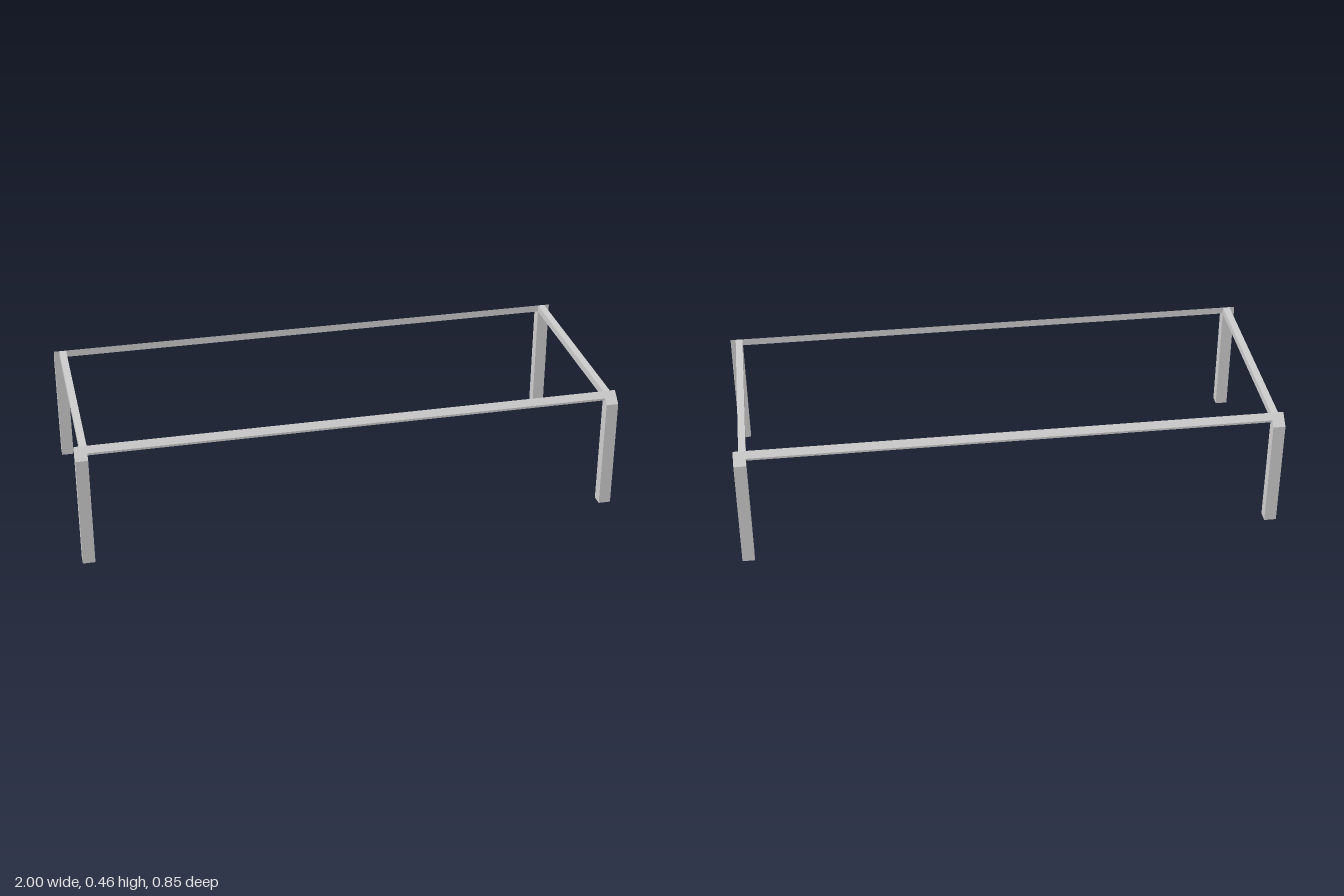
import * as THREE from 'three';

const material = new THREE.MeshStandardMaterial({ color: 0xcccccc, flatShading: true });

// Extrudes a (z, y) profile along x, centred on x = 0
function extrudeAlongX(points, length, name) {
  const shape = new THREE.Shape(points.map(([z, y]) => new THREE.Vector2(-z, y)));
  const geometry = new THREE.ExtrudeGeometry(shape, { depth: length, bevelEnabled: false });
  geometry.translate(0, 0, -length / 2);
  geometry.rotateY(Math.PI / 2);
  const mesh = new THREE.Mesh(geometry, material);
  mesh.name = name;
  return mesh;
}

export function createModel() {
  const model = new THREE.Group();
  model.name = 'tableFrame';

  const top = 0.457, railBottom = 0.43;
  const inner = 0.384, outer = 0.427;
  const legWidth = 0.045;

  // Leg with its top sloping down to the outside
  const legProfile = [[inner, 0], [outer, 0], [outer, 0.42], [inner, top]];
  // Long rail whose top follows the slope of the legs
  const railProfile = [[inner, railBottom], [0.406, railBottom], [0.406, 0.438], [inner, top]];

  for (const [end, endName] of [[1, 'front'], [-1, 'back']]) {
    const half = new THREE.Group();
    half.name = endName + 'Side';
    half.rotation.y = end === 1 ? 0 : Math.PI;

    for (const side of [1, -1]) {
      const sideName = side * end === 1 ? 'Left' : 'Right';
      const leg = extrudeAlongX(legProfile, legWidth, endName + sideName + 'Leg');
      leg.position.x = side * (1 - legWidth / 2);
      half.add(leg);
    }
    half.add(extrudeAlongX(railProfile, 2 - 2 * legWidth, endName + 'Rail'));
    model.add(half);
  }

  // Short rails joining front and back legs
  for (const [side, name] of [[1, 'leftRail'], [-1, 'rightRail']]) {
    const rail = new THREE.Mesh(new THREE.BoxGeometry(0.026, top - railBottom, 2 * inner), material);
    rail.name = name;
    rail.position.set(side * 0.967, (top + railBottom) / 2, 0);
    model.add(rail);
  }

  return model;
}
